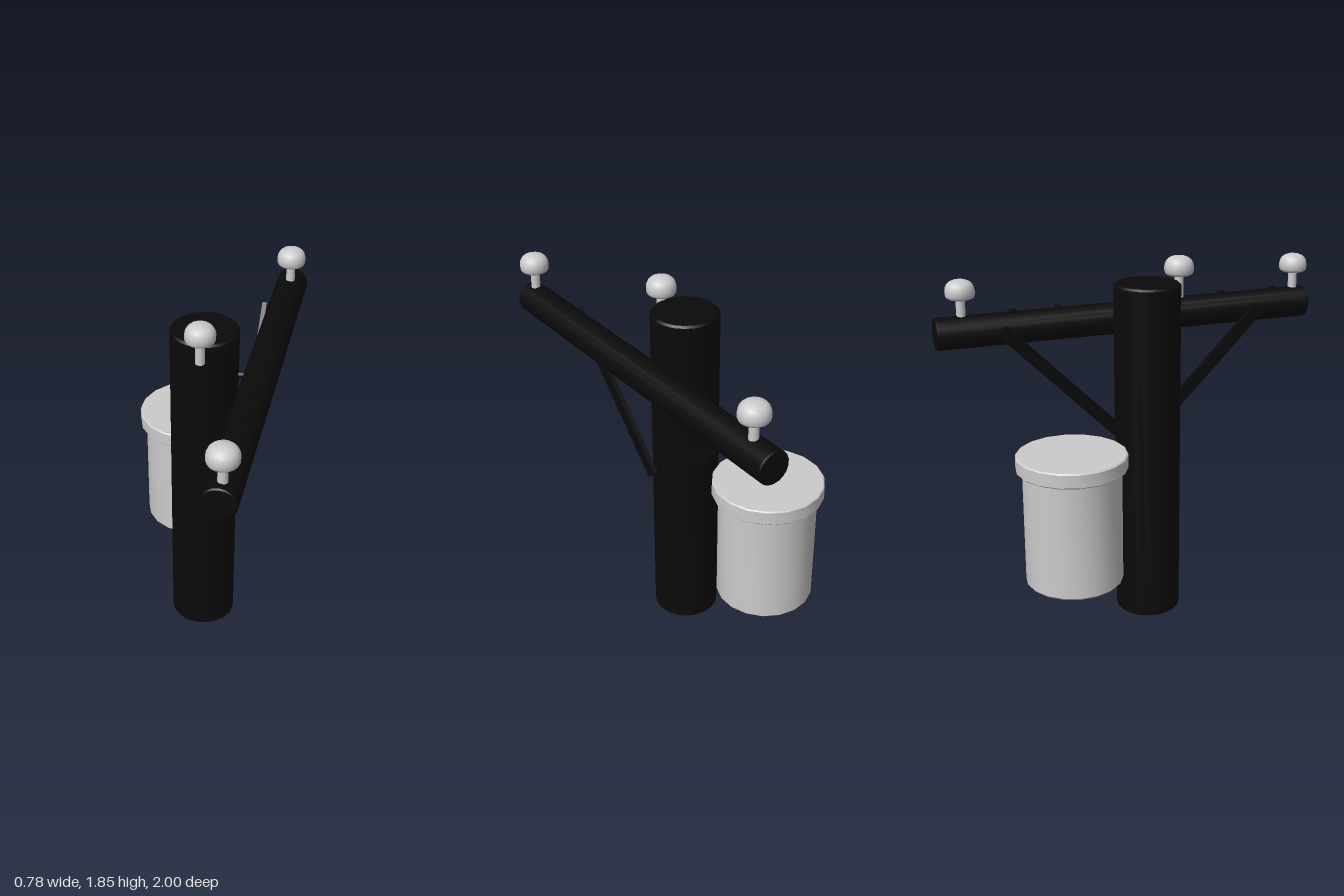
import * as THREE from 'three';
import { toCreasedNormals } from 'three/addons/utils/BufferGeometryUtils.js';

const grey = new THREE.MeshStandardMaterial({ color: 0xcccccc });
const black = new THREE.MeshStandardMaterial({ color: 0x0a0a0a });

function part(name, geometry, material, x = 0, y = 0, z = 0) {
  const mesh = new THREE.Mesh(geometry, material);
  mesh.name = name;
  mesh.position.set(x, y, z);
  return mesh;
}

// Turned solid from [radius, height] pairs, bottom to top
function turned(profile, sides, crease = 0.6) {
  const points = profile.map(([r, y]) => new THREE.Vector2(r, y));
  return toCreasedNormals(new THREE.LatheGeometry(points, sides), crease);
}

// Cylinder with slightly bevelled rims, standing on y = 0
function log(r, h, sides, b = 0.01) {
  return turned([[0, 0], [r - b, 0], [r, b], [r, h - b], [r - b, h], [0, h]], sides);
}

// Domed cap on a thin stem, standing on y = 0
function insulator(x, y, z) {
  const group = new THREE.Group();
  group.name = 'insulator';
  group.position.set(x, y, z);
  const cap = turned([
    [0, 0.09], [0.054, 0.09], [0.067, 0.097], [0.072, 0.108], [0.073, 0.13],
    [0.07, 0.147], [0.062, 0.163], [0.05, 0.174], [0.03, 0.182], [0, 0.185],
  ], 20, 0.9);
  group.add(part('insulatorCap', cap, grey));
  group.add(part('insulatorStem', new THREE.CylinderGeometry(0.023, 0.023, 0.12, 12), grey, 0, 0.04, 0));
  return group;
}

export function createModel() {
  const model = new THREE.Group();
  model.name = 'utilityPole';

  // Upright pole
  model.add(part('pole', log(0.165, 1.735, 20), black, 0.04, 0, -0.006));

  // Crossbeam along z, with the bolt that holds it to the pole
  const beam = part('crossbeam', log(0.081, 1.985, 18, 0.006), black, 0.31, 1.503, -1);
  beam.rotation.x = Math.PI / 2;
  model.add(beam);
  const bolt = part('beamBolt', new THREE.CylinderGeometry(0.018, 0.018, 0.12, 10), black, 0.23, 1.503, -0.01);
  bolt.rotation.z = Math.PI / 2;
  model.add(bolt);

  // Small bolt heads along the top of the beam
  for (const z of [0.795, 0.5, 0.27, -0.385, -0.615]) {
    model.add(part('boltHead', new THREE.CylinderGeometry(0.018, 0.018, 0.04, 10), black, 0.302, 1.576, z));
  }

  // Flat diagonal braces
  for (const side of [1, -1]) {
    const brace = part('brace', new THREE.BoxGeometry(0.024, 0.065, 0.925), black, 0.214, 1.19, side * 0.361 - 0.004);
    brace.rotation.x = -side * Math.PI / 4;
    model.add(brace);
  }

  // Insulators: two on the beam, one on the pole top
  model.add(insulator(0.315, 1.577, 0.925));
  model.add(insulator(0.315, 1.577, -0.867));
  model.add(insulator(0.055, 1.668, 0.165));

  // Transformer can behind the pole
  const can = new THREE.Group();
  can.name = 'transformer';
  can.position.set(-0.125, 0, -0.458);
  can.add(part('transformerBody', log(0.243, 0.61, 18, 0.012), grey, 0, 0.3, 0));
  can.add(part('transformerLid', log(0.274, 0.076, 18, 0.006), grey, 0, 0.895, 0));
  model.add(can);

  return model;
}
